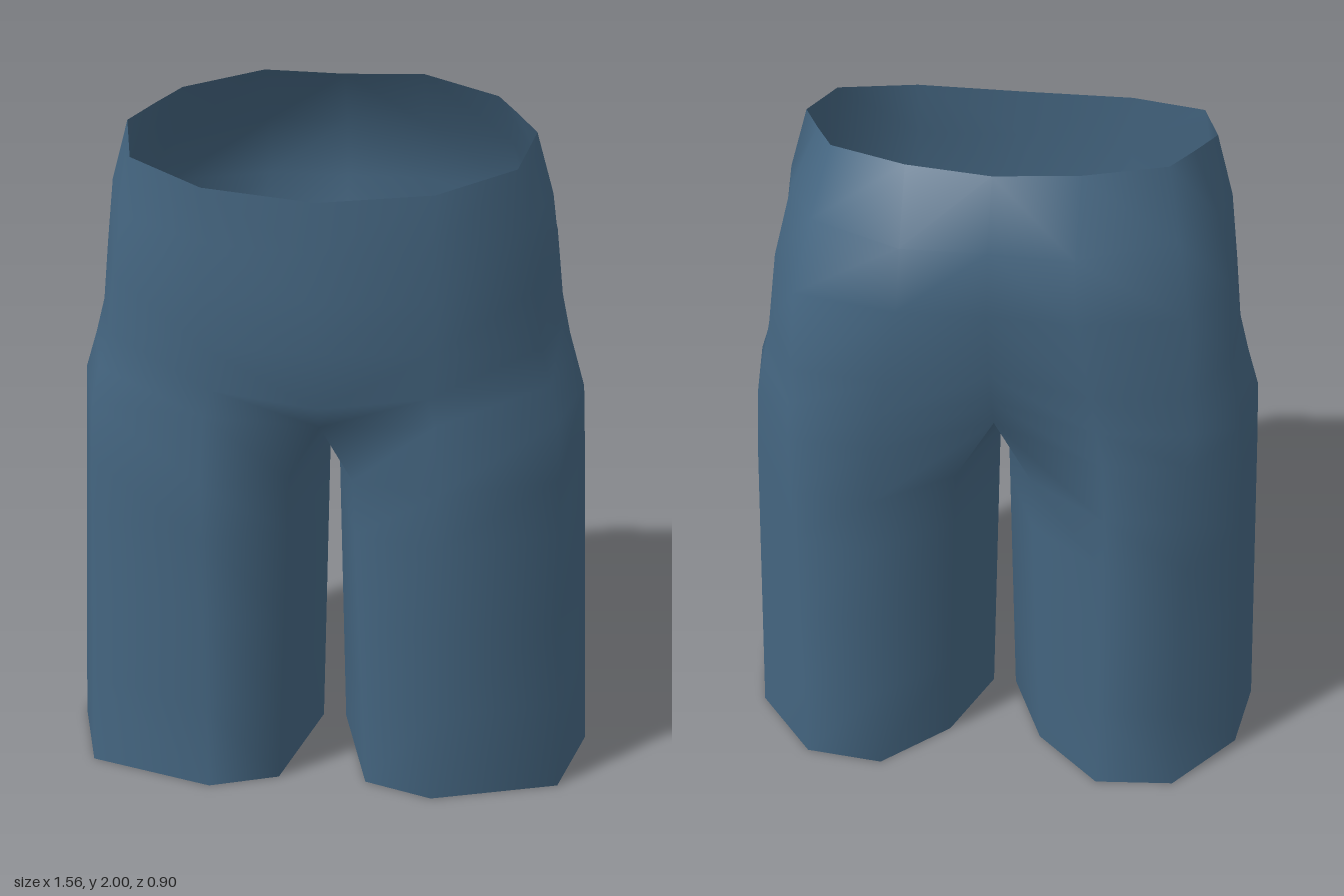
import * as THREE from 'three';
import { mergeVertices } from 'three/addons/utils/BufferGeometryUtils.js';

// Left-half torso rows, each running front centre -> outside -> back centre
const torsoRows = [
  [[0, 1.845, .445], [.31, 1.865, .41], [.52, 1.905, .29], [.565, 1.945, .08], [.51, 1.96, -.04], [.45, 1.975, -.16], [.23, 2, -.28], [0, 1.99, -.295]],
  [[0, 1.70, .45], [.31, 1.71, .415], [.55, 1.74, .29], [.615, 1.77, .07], [.585, 1.79, -.08], [.49, 1.81, -.27], [.23, 1.82, -.405], [0, 1.82, -.40]],
  [[0, 1.56, .452], [.32, 1.56, .415], [.58, 1.57, .29], [.64, 1.58, .05], [.63, 1.6, -.13], [.53, 1.63, -.36], [.24, 1.64, -.435], [0, 1.64, -.425]],
  [[0, 1.42, .45], [.32, 1.41, .405], [.60, 1.4, .29], [.66, 1.4, .04], [.65, 1.4, -.17], [.545, 1.4, -.39], [.28, 1.4, -.42], [0, 1.42, -.38]],
  [[0, 1.25, .43], [.30, 1.28, .40], [.63, 1.29, .29], [.69, 1.29, .03], [.67, 1.29, -.19], [.555, 1.29, -.40], [.30, 1.29, -.43], [0, 1.30, -.33]],
  [[0, 1.17, .37], [.32, 1.2, .405], [.655, 1.18, .29], [.725, 1.18, .02], [.69, 1.18, -.20], [.56, 1.18, -.41], [.32, 1.18, -.435], [0, 1.19, -.28]],
];
const crotch = [0, 1.1, -.03];

// Closed leg outlines [x, z]; the last point is the innermost one
const kneeward = [[.09, .35], [.33, .425], [.665, .29], [.735, .01], [.70, -.21], [.56, -.42], [.33, -.445], [.11, -.29], [.012, -.04]];
const hem = [[.13, .33], [.33, .40], [.70, .29], [.78, .01], [.74, -.22], [.56, -.43], [.33, -.452], [.14, -.28], [.035, -.04]];

function legRow(y) {
  const t = 1 - y;
  return hem.map(([x, z], i) => [
    THREE.MathUtils.lerp(kneeward[i][0], x, t), y, THREE.MathUtils.lerp(kneeward[i][1], z, t),
  ]);
}

export function createModel() {
  const group = new THREE.Group();
  group.name = 'shorts';
  const denim = new THREE.MeshStandardMaterial({ color: 0x446580, side: THREE.DoubleSide });
  denim.name = 'slate blue cloth';

  const positions = [];
  // Adds one quad and its mirror image, with the winding reversed
  function quad(a, b, c, d) {
    for (const p of [d, c, b, d, b, a]) positions.push(...p);
    for (const [x, y, z] of [d, b, c, d, a, b]) positions.push(-x, y, z);
  }
  function loft(rows, closed) {
    for (let i = 0; i + 1 < rows.length; i++) {
      const up = rows[i], low = rows[i + 1], n = up.length;
      for (let j = 0; j < (closed ? n : n - 1); j++) {
        const k = (j + 1) % n;
        quad(up[j], up[k], low[k], low[j]);
      }
    }
  }

  // Seat and waist, open at the top
  loft(torsoRows, false);
  // Legs, joined along the crotch seam and open at the hem
  const legTop = [...torsoRows[torsoRows.length - 1], crotch];
  loft([legTop, ...[1, .83, .55, .28, 0].map(legRow)], true);

  let geometry = new THREE.BufferGeometry();
  geometry.setAttribute('position', new THREE.Float32BufferAttribute(positions, 3));
  geometry = mergeVertices(geometry, 1e-4);
  geometry.computeVertexNormals();

  const cloth = new THREE.Mesh(geometry, denim);
  cloth.name = 'waistAndLegs';
  group.add(cloth);
  return group;
}
